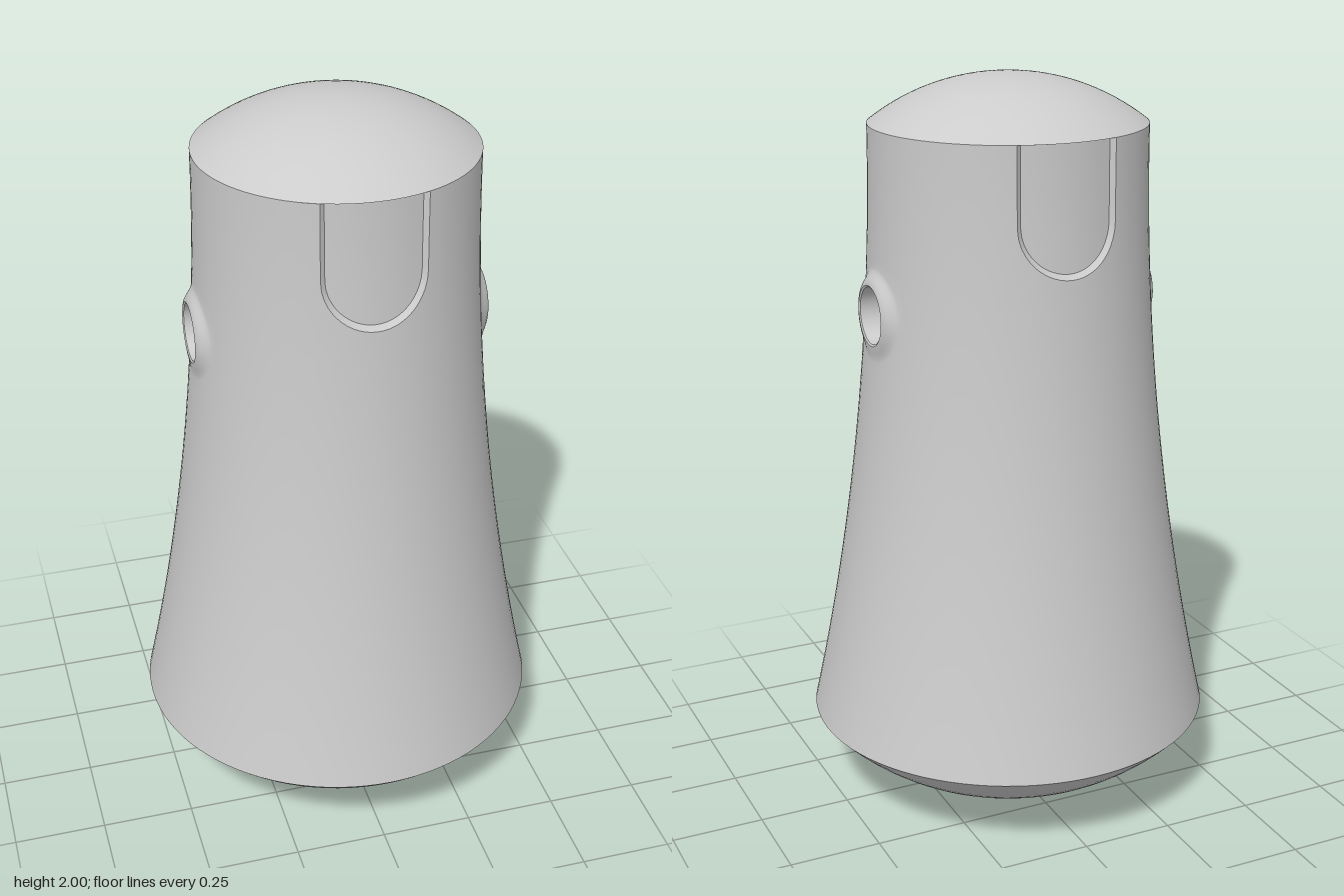
import * as THREE from 'three';
import { mergeGeometries, mergeVertices } from 'three/addons/utils/BufferGeometryUtils.js';

const COLS = 96, ROWS = 48, HALF = 8;   // body grid, half width of the cut windows
const Y0 = 0.24, Y1 = 1.875, HOLE_Y = 1.398, SLOT_Y = 1.671;
const UP = new THREE.Vector3(0, 1, 0);
const V = (x, y, z) => new THREE.Vector3(x, y, z);

// flared body radius, and the grid rows and columns
const radius = y => 0.366 + 0.184 * ((Y1 - y) / (Y1 - Y0)) ** 2;
const rowY = k => Y1 - (Y1 - Y0) * k / ROWS;
const gridPoint = (j, k) => {
  const a = j / COLS * Math.PI * 2, y = rowY(k), r = radius(y);
  return V(r * Math.sin(a), y, r * Math.cos(a));
};
const onBody = (s, y, depth = 0) => V(s, y, Math.sqrt((radius(y) - depth) ** 2 - s * s));

// skin rows of points with quads
function loft(rows, skip = () => false) {
  const n = rows[0].length, index = [];
  for (let i = 0; i < rows.length - 1; i++)
    for (let j = 0; j < n - 1; j++) {
      if (skip(j, i)) continue;
      const a = i * n + j, c = a + n;
      index.push(a, c, a + 1, a + 1, c, c + 1);
    }
  const g = new THREE.BufferGeometry().setFromPoints(rows.flat());
  g.setIndex(index);
  return g;
}

// border of a window, clockwise from its top right corner
function border(k0, k1, closed) {
  const pts = [];
  for (let k = k0; k < k1; k++) pts.push(gridPoint(HALF, k));
  for (let j = HALF; j > -HALF; j--) pts.push(gridPoint(j, k1));
  for (let k = k1; k > k0; k--) pts.push(gridPoint(-HALF, k));
  for (let j = -HALF; j <= (closed ? HALF : -HALF); j++) pts.push(gridPoint(j, k0));
  return pts;
}

// border points pulled to distance w from a centre (hole) or a vertical spine (slot)
const contour = (pts, w, cy, spine, place) => pts.map(p => {
  const y = spine ? Math.max(p.y, cy) : cy;
  const l = Math.hypot(p.x, p.y - y);
  return place(p.x / l * w, y + (p.y - y) / l * w);
});
const between = (a, b, t) => a.map((p, i) => p.clone().lerp(b[i], t));
const settle = rows => rows.map(row => row.map(p => {
  const q = onBody(p.x, p.y);
  return q;
}));

// rows from a window border in to the edge of a cut, lying on the body
function skirt(pts, edge) {
  return [pts, ...settle([0.25, 0.5, 0.75].map(t => between(pts, edge, t))), edge];
}

function cap(r, h, y, sign) {
  const R = (r * r + h * h) / (2 * h), max = Math.asin(r / R), pts = [];
  for (let i = 0; i <= 16; i++) {
    const a = max * i / 16;
    pts.push(new THREE.Vector2(R * Math.sin(a), y + sign * (h - R + R * Math.cos(a))));
  }
  return new THREE.LatheGeometry(sign > 0 ? pts.reverse() : pts, COLS);
}

export function createModel() {
  const group = new THREE.Group();
  const material = new THREE.MeshStandardMaterial({ color: 0xcccccc });
  const add = (geometry, name) => {
    const mesh = new THREE.Mesh(geometry, material);
    mesh.name = name;
    group.add(mesh);
    return mesh;
  };
  const smooth = parts => {
    const g = mergeVertices(mergeGeometries(parts));
    g.computeVertexNormals();
    return g;
  };

  // slot: U outline, narrow bevel, sunken floor
  const slotBorder = border(0, 12, false);
  const slotRing = (w, depth) =>
    contour(slotBorder, w, SLOT_Y, true, (s, y) => onBody(s, y, depth));
  const slotSkirt = loft(skirt(slotBorder, slotRing(0.135, 0)));
  const slotBevel = loft([slotRing(0.135, 0), slotRing(0.122, 0.013)]);
  const slotFloor = loft([0.122, 0.09, 0.06, 0.03, 0].map(w => slotRing(w, 0.013)));

  // cross hole: raised collar easing into a flat rim, then the bore
  const holeBorder = border(8, 20, true);
  const FACE = 0.395;
  const collarRing = t => contour(holeBorder, 0.125 - 0.045 * t, HOLE_Y, false, (s, y) => {
    const p = onBody(s, y);
    p.z += (FACE - p.z) * t * t * (3 - 2 * t);
    return p;
  });
  const holeSkirt = loft([...skirt(holeBorder, collarRing(0)),
    ...[0.2, 0.4, 0.6, 0.8, 1].map(collarRing)]);
  const boreRing = (w, z) => contour(holeBorder, w, HOLE_Y, false, (s, y) => V(s, y, z));
  const rim = loft([boreRing(0.08, FACE), boreRing(0.075, FACE - 0.003)]);
  const bore = loft([boreRing(0.075, FACE - 0.003), boreRing(0.075, 0.2), boreRing(0.075, 0)]);

  // flared body with windows left open for the slots and the hole
  const rows = [];
  for (let k = 0; k <= ROWS; k++) {
    rows.push([]);
    for (let j = 0; j <= COLS; j++) rows[k].push(gridPoint(j, k));
  }
  const wall = loft(rows, (j, k) => {
    const m = (j + HALF) % 48;
    return (m < 16 && k < 12) || (m >= 24 && m < 40 && k >= 8 && k < 20);
  });
  const turned = (g, a) => g.clone().rotateY(a);
  const parts = [wall];
  for (const a of [0, Math.PI])
    parts.push(turned(slotSkirt, a), turned(holeSkirt, a + Math.PI / 2));
  add(smooth(parts), 'body');

  // front and back slots, left and right halves of the bore
  for (const [a, slotSide, holeSide] of [[0, 'front', 'left'], [Math.PI, 'back', 'right']]) {
    add(smooth([turned(slotBevel, a)]), slotSide + 'SlotBevel');
    add(smooth([turned(slotFloor, a)]), slotSide + 'SlotFloor');
    add(smooth([turned(rim, a + Math.PI / 2)]), holeSide + 'HoleRim');
    add(smooth([turned(bore, a + Math.PI / 2)]), holeSide + 'HoleBore');
  }

  // domed top with its flat underside, and the domed base
  add(cap(0.366, 0.125, Y1, 1), 'topDome');
  const under = add(new THREE.RingGeometry(0.3, 0.366, COLS), 'topDomeUnderside');
  under.rotation.x = Math.PI / 2;
  under.position.y = Y1;
  add(cap(0.55, 0.24, Y0, -1), 'baseDome');
  return group;
}
